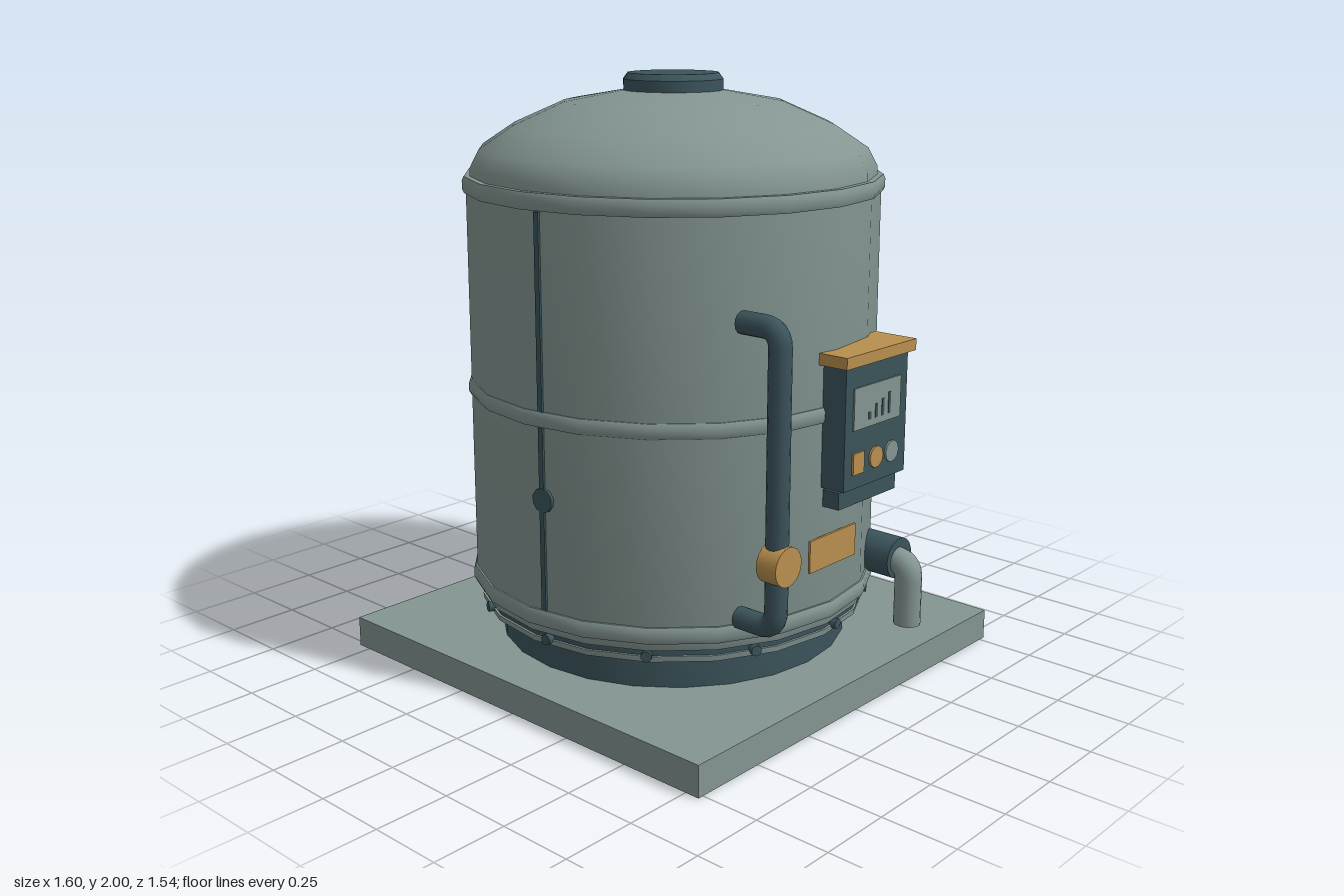
import * as THREE from 'three';
import { toCreasedNormals } from 'three/addons/utils/BufferGeometryUtils.js';

const material = (name, color) => {
  const m = new THREE.MeshStandardMaterial({ color });
  m.name = name;
  return m;
};

export function createModel() {
  const model = new THREE.Group();
  model.name = 'storageTank';
  const grey = material('greyGreenPaint', 0x849692);
  const dark = material('darkTealPaint', 0x3b545b);
  const gold = material('ochrePaint', 0xb98f4e);

  const add = (name, geometry, mat, x = 0, y = 0, z = 0) => {
    const mesh = new THREE.Mesh(geometry, mat);
    mesh.name = name;
    mesh.position.set(x, y, z);
    model.add(mesh);
    return mesh;
  };
  // box given by its limits on each axis
  const box = (name, mat, x0, x1, y0, y1, z0, z1) =>
    add(name, new THREE.BoxGeometry(x1 - x0, y1 - y0, z1 - z0), mat,
      (x0 + x1) / 2, (y0 + y1) / 2, (z0 + z1) / 2);
  // turned part from [radius, height] pairs, listed bottom to top
  const turned = (name, mat, profile, sides = 20) => {
    const points = profile.map(([r, y]) => new THREE.Vector2(r, y));
    return add(name, toCreasedNormals(new THREE.LatheGeometry(points, sides), 0.62), mat);
  };
  // cylinder lying along x
  const disc = (name, mat, x0, x1, y, z, r, sides = 20) => {
    const g = new THREE.CylinderGeometry(r, r, x1 - x0, sides).rotateZ(Math.PI / 2);
    return add(name, g, mat, (x0 + x1) / 2, y, z);
  };
  // disc standing out from the tank wall at an angle around y
  const stud = (name, angle, radius, y, r, depth) => {
    const g = new THREE.CylinderGeometry(r, r, depth, 10).rotateX(Math.PI / 2);
    const mesh = add(name, g, dark, radius * Math.sin(angle), y, radius * Math.cos(angle));
    mesh.rotation.y = angle;
  };

  // foundation and plinth
  box('basePlate', grey, -0.8, 0.8, 0, 0.105, -0.775, 0.77);
  turned('plinth', dark, [[0.6, 0.1], [0.6, 0.2], [0.635, 0.222]], 24);

  // tank body with foot rim, recessed joint and wall
  turned('footRim', grey, [[0.6, 0.22], [0.665, 0.22], [0.668, 0.24], [0.64, 0.24]]);
  turned('footJoint', dark, [[0.66, 0.238], [0.66, 0.264]]);
  turned('tankWall', grey, [[0.64, 0.262], [0.674, 0.262], [0.685, 0.3], [0.685, 1.67]]);
  turned('dome', grey, [[0.672, 1.66], [0.67, 1.705], [0.64, 1.762], [0.53, 1.835],
    [0.36, 1.91], [0.16, 1.945], [0, 1.95]]);
  turned('domeCap', dark, [[0.165, 1.94], [0.165, 1.98], [0.15, 2], [0, 2]], 20);

  // rounded hoops around the wall
  for (const [y, h, r] of [[0.318, 0.027, 0.697], [0.976, 0.025, 0.695], [1.65, 0.027, 0.697]]) {
    turned('hoop', grey, [[0.67, y - h], [r - 0.006, y - h], [r, y - h * 0.5],
      [r, y + h * 0.5], [r - 0.006, y + h], [0.67, y + h]]);
  }

  // wall seam, inspection plugs and foot bolts
  for (const [y0, y1] of [[0.345, 0.95], [1.0, 1.62]]) {
    box('wallSeam', dark, 0.055, 0.075, y0, y1, 0.675, 0.682);
  }
  for (const angle of [0.1, 3.05, 4.71]) stud('inspectionPlug', angle, 0.675, 0.715, 0.04, 0.024);
  for (let i = 0; i < 12; i++) stud('footBolt', 0.09 + i * Math.PI / 6, 0.662, 0.242, 0.018, 0.03);

  // pipe with straight runs joined by bends
  const pipe = (name, mat, points, bend, radius) => {
    const path = new THREE.CurvePath();
    const p = points.map(([x, y, z]) => new THREE.Vector3(x, y, z));
    let from = p[0];
    for (let i = 1; i < p.length - 1; i++) {
      const a = p[i].clone().add(p[i - 1].clone().sub(p[i]).setLength(bend));
      const b = p[i].clone().add(p[i + 1].clone().sub(p[i]).setLength(bend));
      path.add(new THREE.LineCurve3(from, a));
      path.add(new THREE.QuadraticBezierCurve3(a, p[i], b));
      from = b;
    }
    path.add(new THREE.LineCurve3(from, p[p.length - 1]));
    add(name, new THREE.TubeGeometry(path, 72, radius, 14), mat);
  };
  pipe('bypassPipe', dark, [[0.6, 1.31, 0.355], [0.745, 1.31, 0.355],
    [0.745, 0.375, 0.355], [0.6, 0.375, 0.355]], 0.06, 0.036);
  disc('valveWheel', gold, 0.715, 0.79, 0.587, 0.355, 0.063);

  // outlet flange and spout
  disc('outletFlange', dark, 0.55, 0.705, 0.395, -0.36, 0.071);
  pipe('outletSpout', grey, [[0.66, 0.39, -0.355], [0.748, 0.39, -0.355],
    [0.748, 0.175, -0.355]], 0.055, 0.046);
  const end = add('spoutEnd', new THREE.CircleGeometry(0.046, 14), grey, 0.748, 0.1755, -0.355);
  end.rotation.x = Math.PI / 2;

  // control cabinet on the left wall
  const face = 0.764;
  box('cabinet', dark, 0.62, face, 0.74, 1.142, -0.278, 0.052);
  box('cabinetFoot', dark, 0.62, 0.74, 0.675, 0.732, -0.265, 0.043);
  box('cabinetRoof', gold, 0.62, 0.78, 1.14, 1.178, -0.3, 0.072);
  box('screen', grey, face - 0.002, face + 0.005, 0.932, 1.068, -0.238, 0.012);
  [0.025, 0.045, 0.055, 0.07].forEach((h, i) => {
    const z = -0.07 - i * 0.035;
    box('screenBar', dark, face + 0.004, face + 0.007, 0.955, 0.955 + h, z - 0.006, z + 0.006);
  });
  box('squareButton', gold, face - 0.002, face + 0.007, 0.788, 0.858, -0.046, 0.012);
  disc('roundButton', gold, face - 0.002, face + 0.007, 0.823, -0.113, 0.036, 10);
  disc('greyButton', grey, face - 0.002, face + 0.007, 0.823, -0.198, 0.036, 10);

  // rating plate
  box('ratingPlate', gold, 0.684, 0.692, 0.473, 0.58, -0.12, 0.12);

  return model;
}
